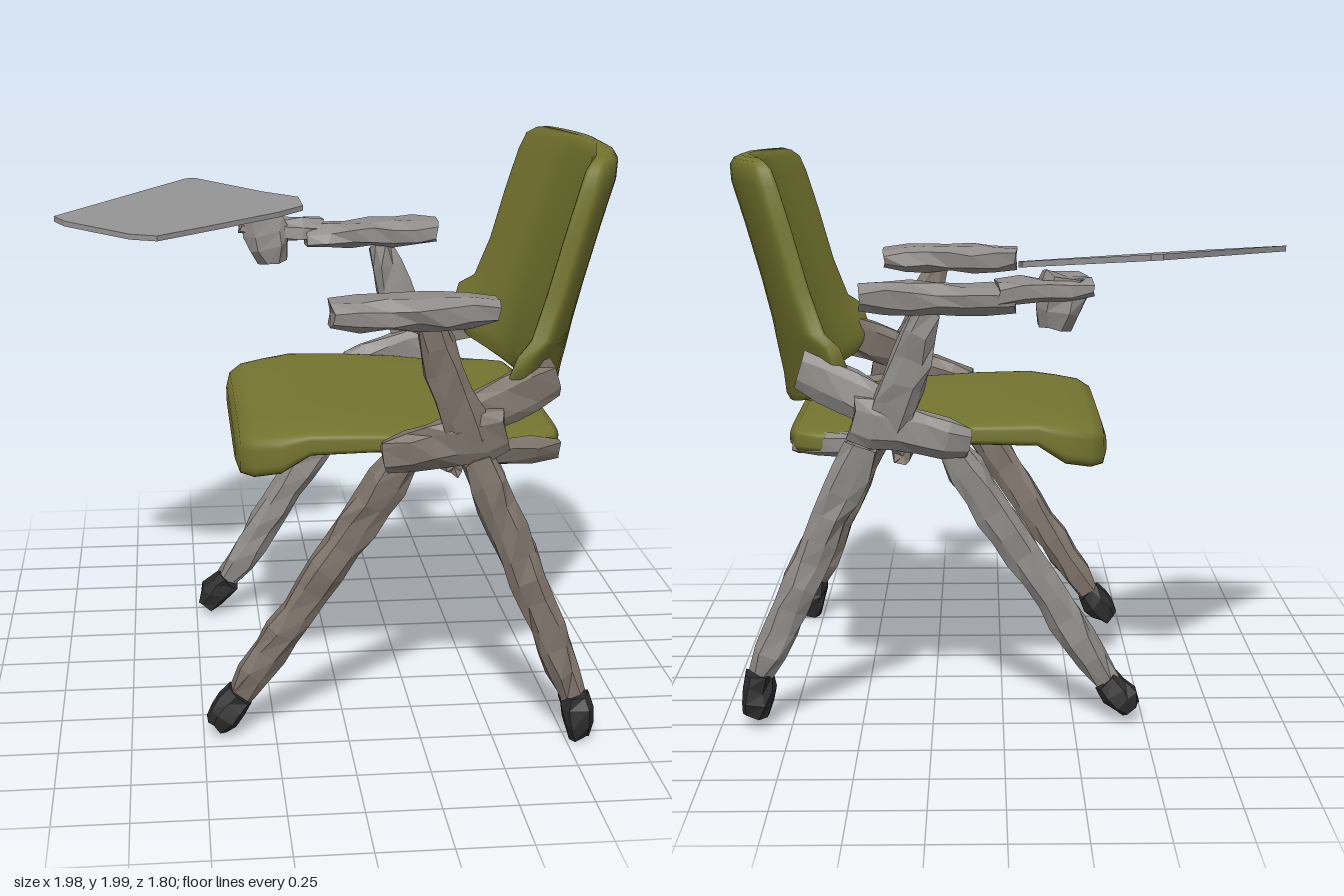
import * as THREE from 'three';

const V = (x, y, z) => new THREE.Vector3(x, y, z);
const paint = (color, flatShading = false) => new THREE.MeshStandardMaterial({ color, flatShading });
const olive = paint(0x74742f);
const greyMetal = paint(0x8d8a87, true);
const warmMetal = paint(0x7d736a, true);
const darkRubber = paint(0x2a2a2a, true);
const padGrey = paint(0x8f8b88, true);
const tabletGrey = paint(0x929292);
tabletGrey.side = THREE.DoubleSide;

// small repeatable roughness in [-1, 1]
const rough = (n) => {
  const s = Math.sin(n * 127.1 + 3.7) * 43758.5453;
  return (s - Math.floor(s)) * 2 - 1;
};

// Skin over superellipse rings; each ring is { c, a, b } with a x b along the travel
function loft(rings, sides, power, warp = (p) => p) {
  const pos = [], idx = [];
  const sp = (t) => Math.sign(t) * Math.abs(t) ** power;
  rings.forEach(({ c, a, b }, i) => {
    for (let j = 0; j < sides; j++) {
      const t = ((j + 0.5) / sides) * Math.PI * 2;
      const p = c.clone().addScaledVector(a, sp(Math.cos(t))).addScaledVector(b, sp(Math.sin(t)));
      pos.push(...warp(p, i, j).toArray());
      if (i < rings.length - 1) {
        const k = (j + 1) % sides, r = i * sides, s = r + sides;
        idx.push(r + j, r + k, s + k, r + j, s + k, s + j);
      }
    }
  });
  const last = (rings.length - 1) * sides, n = rings.length * sides;
  pos.push(...warp(rings[0].c.clone(), 0, 0).toArray());
  pos.push(...warp(rings.at(-1).c.clone(), rings.length - 1, 0).toArray());
  for (let j = 0; j < sides; j++) {
    const k = (j + 1) % sides;
    idx.push(n, k, j, n + 1, last + j, last + k);
  }
  const g = new THREE.BufferGeometry();
  g.setAttribute('position', new THREE.Float32BufferAttribute(pos, 3));
  g.setIndex(idx);
  g.computeVertexNormals();
  return g;
}

// Rough bar from p to q; w = half width across, t = half thickness (start and end)
function bar(p, q, [w0, t0], [w1, t1] = [w0, t0], seed = 1, side = V(0, 0, 1)) {
  const d = q.clone().sub(p).normalize();
  const a0 = side.clone().addScaledVector(d, -side.dot(d)).normalize();
  const b0 = d.clone().cross(a0);
  const steps = Math.max(3, Math.round(p.distanceTo(q) / 0.09));
  const rings = [];
  for (let i = 0; i <= steps; i++) {
    const u = i / steps, end = i === 0 || i === steps ? 0.8 : 1;
    rings.push({
      c: p.clone().lerp(q, u),
      a: a0.clone().multiplyScalar(THREE.MathUtils.lerp(w0, w1, u) * end),
      b: b0.clone().multiplyScalar(THREE.MathUtils.lerp(t0, t1, u) * end),
    });
  }
  return loft(rings, 8, 0.75, (v, i, j) => {
    const n = seed * 91 + i * 8 + j;
    return v.add(V(rough(n), rough(n + 0.3), rough(n + 0.6)).multiplyScalar(0.009));
  });
}

export function createModel() {
  const model = new THREE.Group();
  model.name = 'tabletArmChair';
  const add = (name, geometry, material, parent = model) => {
    const m = new THREE.Mesh(geometry, material);
    m.name = name;
    parent.add(m);
    return m;
  };

  // Seat: x, centre y, half thickness, half width (drooping front lip)
  const seat = [
    [-0.37, 0.98, 0.035, 0.4], [-0.355, 0.985, 0.075, 0.48], [-0.31, 0.995, 0.09, 0.53],
    [-0.22, 1.01, 0.088, 0.555], [-0.12, 1.05, 0.055, 0.565], [0.1, 1.05, 0.048, 0.565],
    [0.3, 1.04, 0.045, 0.56], [0.5, 1.02, 0.045, 0.55], [0.64, 1.02, 0.05, 0.54],
    [0.72, 1.02, 0.05, 0.5], [0.75, 1.02, 0.03, 0.44],
  ];
  add('seat', loft(seat.map(([x, y, t, w]) => ({
    c: V(x, y, 0.085), a: V(0, t, 0), b: V(0, 0, w),
  })), 48, 0.4), olive);

  // Backrest: y, centre x, half thickness, half width, forward wrap of the sides
  const back = [
    [1.09, 0.77, 0.025, 0.42, 0.12], [1.12, 0.765, 0.045, 0.5, 0.17], [1.2, 0.77, 0.05, 0.58, 0.22],
    [1.3, 0.785, 0.052, 0.6, 0.2], [1.4, 0.8, 0.052, 0.56, 0.16], [1.55, 0.835, 0.052, 0.535, 0.14],
    [1.75, 0.89, 0.052, 0.53, 0.14], [1.9, 0.935, 0.052, 0.52, 0.14], [1.96, 0.945, 0.046, 0.5, 0.13],
    [1.985, 0.945, 0.03, 0.46, 0.11], [1.995, 0.94, 0.012, 0.4, 0.09],
  ];
  add('backrest', loft(back.map(([y, x, t, w]) => ({
    c: V(x, y, 0.12), a: V(0, 0, w), b: V(t, 0, 0),
  })), 64, 0.4, (p, i) => {
    const u = (p.z - 0.12) / back[i][3];
    p.x -= back[i][4] * u * u;
    p.y += i < 4 ? 0.06 * u * u : 0; // lower edge curves up at the sides
    return p;
  }), olive);

  // Side frames: hub, legs, feet, arm post and backrest bracket
  const sides = [
    { name: 'right', s: 1, z: 0.745, front: 0.64, rear: 0.78, foot: [0.79, 0.09], top: 0.46, post: 0.77, mat: warmMetal },
    { name: 'left', s: -1, z: -0.52, front: -0.45, rear: -0.5, foot: [0.87, 0.12], top: 0.52, post: -0.57, mat: greyMetal },
  ];
  sides.forEach(({ name, s, z, front, rear, foot, top, post, mat }, k) => {
    const frame = new THREE.Group();
    frame.name = `${name}Frame`;
    model.add(frame);
    const legs = [
      ['frontLeg', V(0.18, 1.0, z - s * 0.07), V(-0.37, 0.15, front)],
      ['rearLeg', V(top - 0.03, 1.02, z), V(foot[0] - 0.01, foot[1] + 0.08, rear)],
    ];
    legs.forEach(([part, p, q], n) => {
      add(part, bar(p, q, [0.045, 0.07], [0.05, 0.058], 1 + k * 10 + n), mat, frame);
      const tip = n ? V(foot[0] + 0.01, foot[1] - 0.07, rear) : V(-0.46, 0.045, front + s * 0.01);
      add('foot', bar(q, tip, [0.055, 0.062], [0.07, 0.05], 4 + k * 10 + n), darkRubber, frame);
    });
    add('hub', bar(V(0.12, 1.03, z - s * 0.03), V(0.52, 1.12, z), [0.045, 0.065], [0.045, 0.1], 6 + k), mat, frame);
    add('armPost', bar(V(0.4, 1.08, z), V(0.25, 1.5, post), [0.04, 0.085], [0.035, 0.055], 8 + k), mat, frame);
    add('backBracket', bar(V(0.36, 1.14, z), V(0.7, 1.27, z - s * 0.11), [0.035, 0.07], [0.035, 0.09], 10 + k), mat, frame);
    add('seatBracket', bar(V(0.45, 1.03, z - s * 0.02), V(0.73, 1.0, z - s * 0.16), [0.04, 0.045], [0.03, 0.04], 12 + k), mat, frame);
  });
  add('crossBar', bar(V(0.35, 0.985, -0.52), V(0.35, 0.985, 0.74), [0.04, 0.03], [0.04, 0.03], 15, V(1, 0, 0)), warmMetal);

  // Armrest pads
  add('rightArmrest', bar(V(-0.07, 1.535, 0.78), V(0.47, 1.54, 0.77), [0.12, 0.055], [0.1, 0.05], 20), padGrey);
  add('leftArmrest', bar(V(-0.04, 1.54, -0.58), V(0.48, 1.55, -0.59), [0.11, 0.05], [0.09, 0.055], 21), padGrey);

  // Writing tablet with its swivel bracket
  add('tabletArm', bar(V(0.02, 1.56, -0.6), V(-0.3, 1.58, -0.57), [0.1, 0.05], [0.07, 0.035], 22), padGrey);
  add('tabletPivot', bar(V(-0.17, 1.44, -0.55), V(-0.21, 1.62, -0.56), [0.07, 0.07], [0.08, 0.1], 23), padGrey);
  const outline = [[-1, -0.26], [-0.96, -0.2], [-0.72, -0.06], [-0.62, -0.05], [-0.4, -0.23], [-0.15, -0.44],
    [-0.05, -0.55], [-0.06, -0.68], [-0.2, -0.74], [-0.46, -0.91], [-0.5, -0.9]];
  const tablet = new THREE.ExtrudeGeometry(
    new THREE.Shape(outline.map(([x, z]) => new THREE.Vector2(x, -z))),
    { depth: 0.02, bevelEnabled: false });
  tablet.rotateX(-Math.PI / 2);
  const p = tablet.attributes.position;
  for (let i = 0; i < p.count; i++) {
    p.setY(i, p.getY(i) + 1.585 - 0.055 * p.getX(i) - 0.1 * p.getZ(i)); // gentle tilt
  }
  tablet.computeVertexNormals();
  add('writingTablet', tablet, tabletGrey);

  return model;
}
